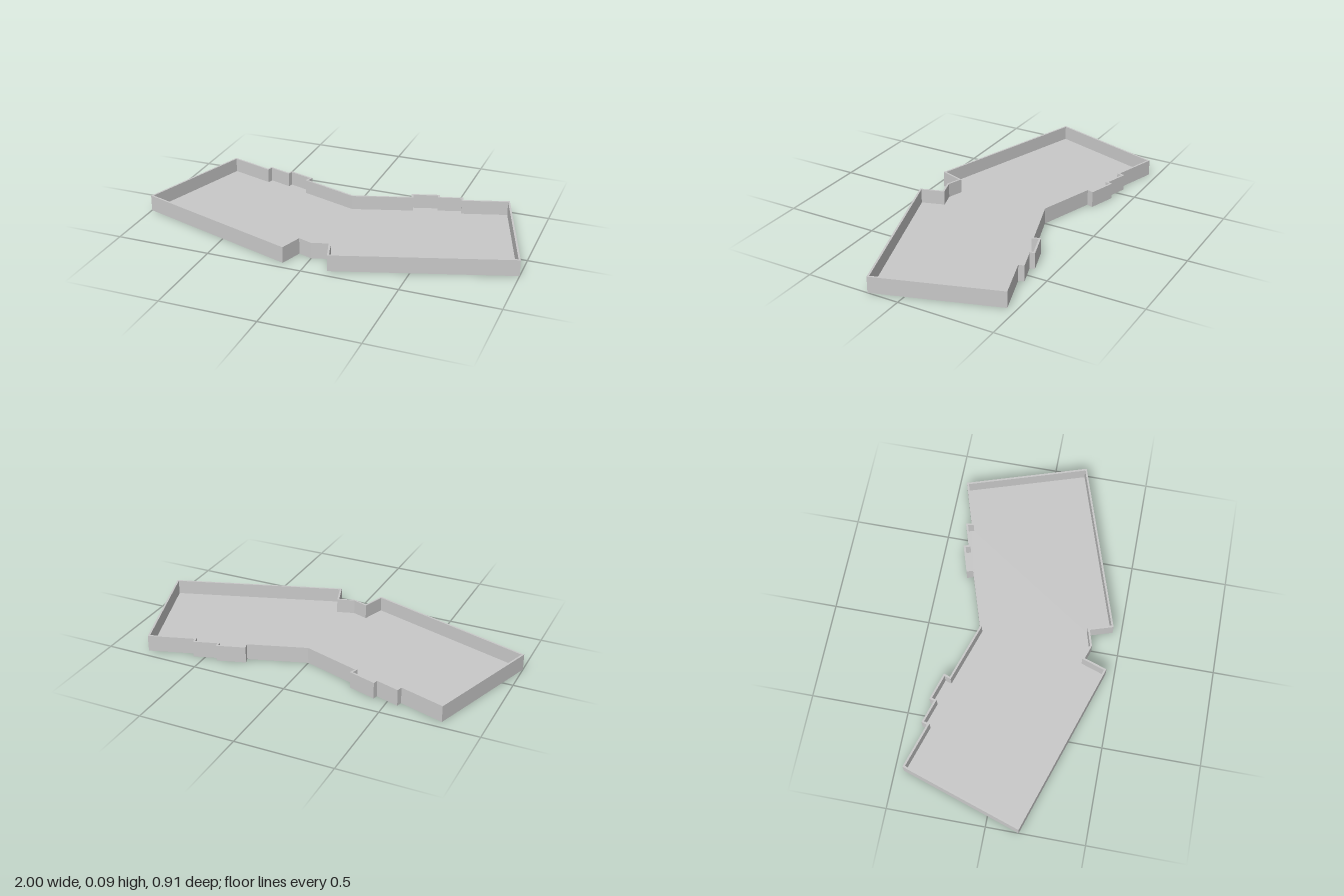
import * as THREE from 'three';

const HEIGHT = 0.086, FLOOR = 0.01, WALL = 0.01;

// Left half of the back edge as [x, z], from the middle to the outer front corner
const wing = [
  [0.297, -0.32], [0.286, -0.353], [0.43, -0.398], [0.437, -0.373],
  [0.557, -0.411], [0.565, -0.382], [0.797, -0.455], [1, 0.167],
];
const outline = [
  [0, -0.224], ...wing,
  [0.121, 0.455], [0.083, 0.337], [0, 0.362], [-0.073, 0.337], [-0.112, 0.455],
  ...wing.map(([x, z]) => [-x, z]).reverse(),
].map(([x, z]) => new THREE.Vector2(x, -z));

// Mitred inset of a closed clockwise outline
function inset(points, d) {
  const n = points.length;
  const normal = (a, b) => {
    const t = b.clone().sub(a).normalize();
    return new THREE.Vector2(t.y, -t.x);
  };
  return points.map((p, i) => {
    const n1 = normal(points[(i + n - 1) % n], p);
    const n2 = normal(p, points[(i + 1) % n]);
    return p.clone().addScaledVector(n1.clone().add(n2), d / (1 + n1.dot(n2)));
  });
}

// Upright slab between two heights
function slab(name, shape, y0, y1, material) {
  const geometry = new THREE.ExtrudeGeometry(shape, { depth: y1 - y0, bevelEnabled: false });
  geometry.rotateX(-Math.PI / 2).translate(0, y0, 0);
  const mesh = new THREE.Mesh(geometry, material);
  mesh.name = name;
  return mesh;
}

export function createModel() {
  const group = new THREE.Group();
  group.name = 'angledTray';
  const grey = new THREE.MeshStandardMaterial({ color: 0xc8c8c8 });
  grey.name = 'grey';

  // Thin floor plate
  group.add(slab('floor', new THREE.Shape(outline), 0, FLOOR, grey));

  // Continuous rim wall; the hole runs the other way round so its faces look inward
  const rim = new THREE.Shape(outline);
  rim.holes.push(new THREE.Path(inset(outline, WALL).reverse()));
  group.add(slab('rimWall', rim, FLOOR, HEIGHT, grey));
  return group;
}
